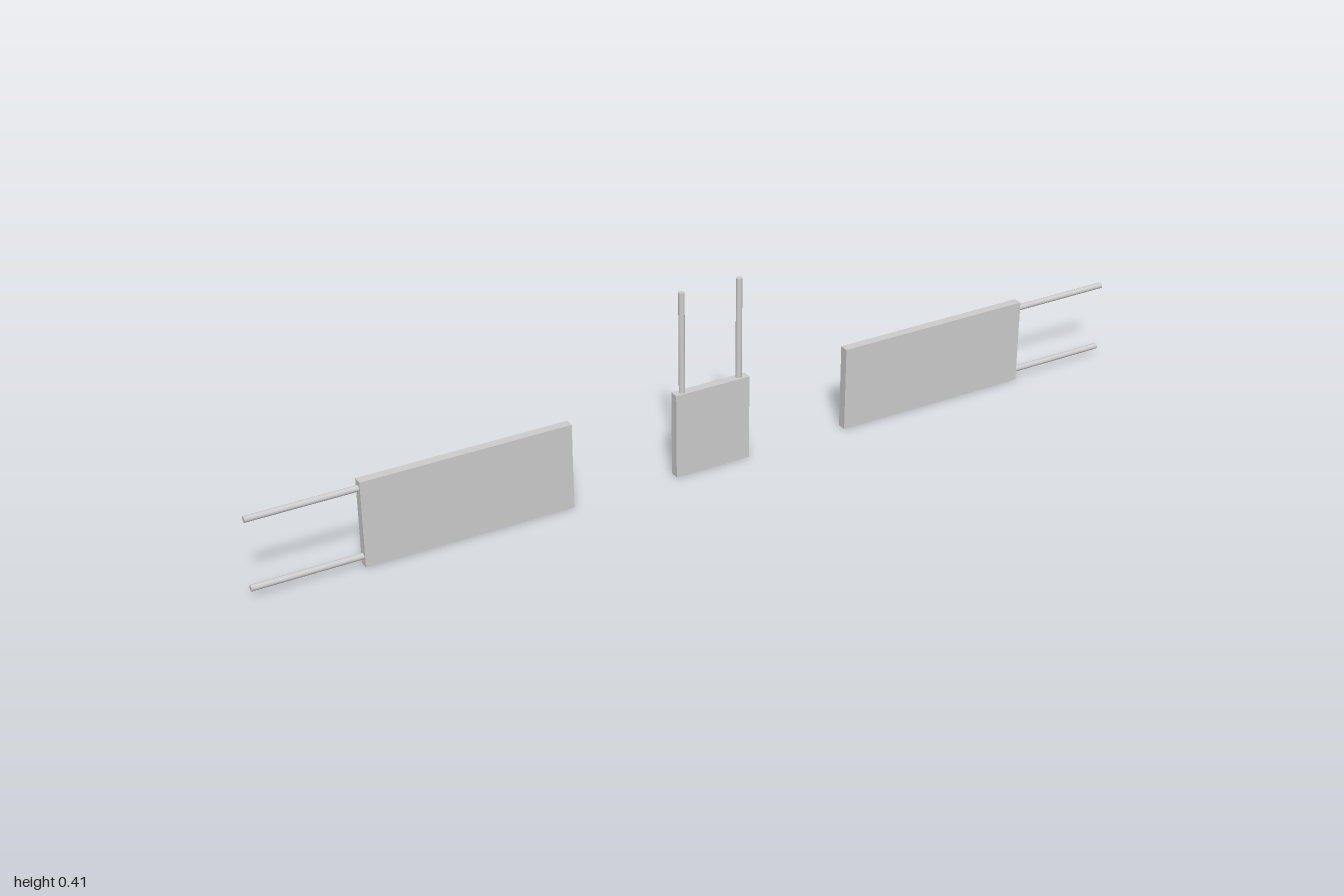
import * as THREE from 'three';

const material = new THREE.MeshStandardMaterial({ color: 0xcccccc });
const HEIGHT = 0.189, DEPTH = 0.02, RIM = 0.01, FLOOR = 0.01, ROD = 0.0065;

function rect(target, w, h) {
  target.moveTo(-w / 2, -h / 2);
  target.lineTo(w / 2, -h / 2);
  target.lineTo(w / 2, h / 2);
  target.lineTo(-w / 2, h / 2);
  target.closePath();
  return target;
}

// Shallow tray: flat plate at the front, raised rim around the back
function makePanel(name, width) {
  const panel = new THREE.Group();
  panel.name = name;

  const plate = new THREE.Mesh(new THREE.BoxGeometry(width, HEIGHT, FLOOR), material);
  plate.name = 'plate';
  plate.position.z = DEPTH / 2 - FLOOR / 2;

  const outline = rect(new THREE.Shape(), width, HEIGHT);
  outline.holes.push(rect(new THREE.Path(), width - 2 * RIM, HEIGHT - 2 * RIM));
  const rim = new THREE.Mesh(
    new THREE.ExtrudeGeometry(outline, { depth: DEPTH - FLOOR, bevelEnabled: false }), material);
  rim.name = 'backRim';
  rim.position.z = -DEPTH / 2;

  panel.add(plate, rim);
  panel.position.y = HEIGHT / 2;
  return panel;
}

// Round rod between two points
function makeRod(name, from, to) {
  const a = new THREE.Vector3(...from), b = new THREE.Vector3(...to);
  const dir = b.clone().sub(a);
  const rod = new THREE.Mesh(new THREE.CylinderGeometry(ROD, ROD, dir.length(), 20), material);
  rod.name = name;
  rod.position.copy(a).add(b).multiplyScalar(0.5);
  rod.quaternion.setFromUnitVectors(new THREE.Vector3(0, 1, 0), dir.normalize());
  return rod;
}

export function createModel() {
  const model = new THREE.Group();
  model.name = 'panelSet';

  // Centre panel with two upright rods
  model.add(makePanel('centrePanel', 0.172));
  for (const [name, x] of [['rightUprightRod', -0.067], ['leftUprightRod', 0.066]]) {
    model.add(makeRod(name, [x, HEIGHT - 0.005, 0], [x, 0.413, 0]));
  }

  // Long side panels with two rods each, reaching outward
  for (const [side, s] of [['left', 1], ['right', -1]]) {
    const panel = makePanel(side + 'Panel', 0.45);
    panel.position.x = s * 0.547;
    model.add(panel);
    for (const [level, y] of [['Lower', 0.021], ['Upper', 0.172]]) {
      model.add(makeRod(side + level + 'Rod', [s * 0.767, y, 0], [s, y, 0]));
    }
  }
  return model;
}
